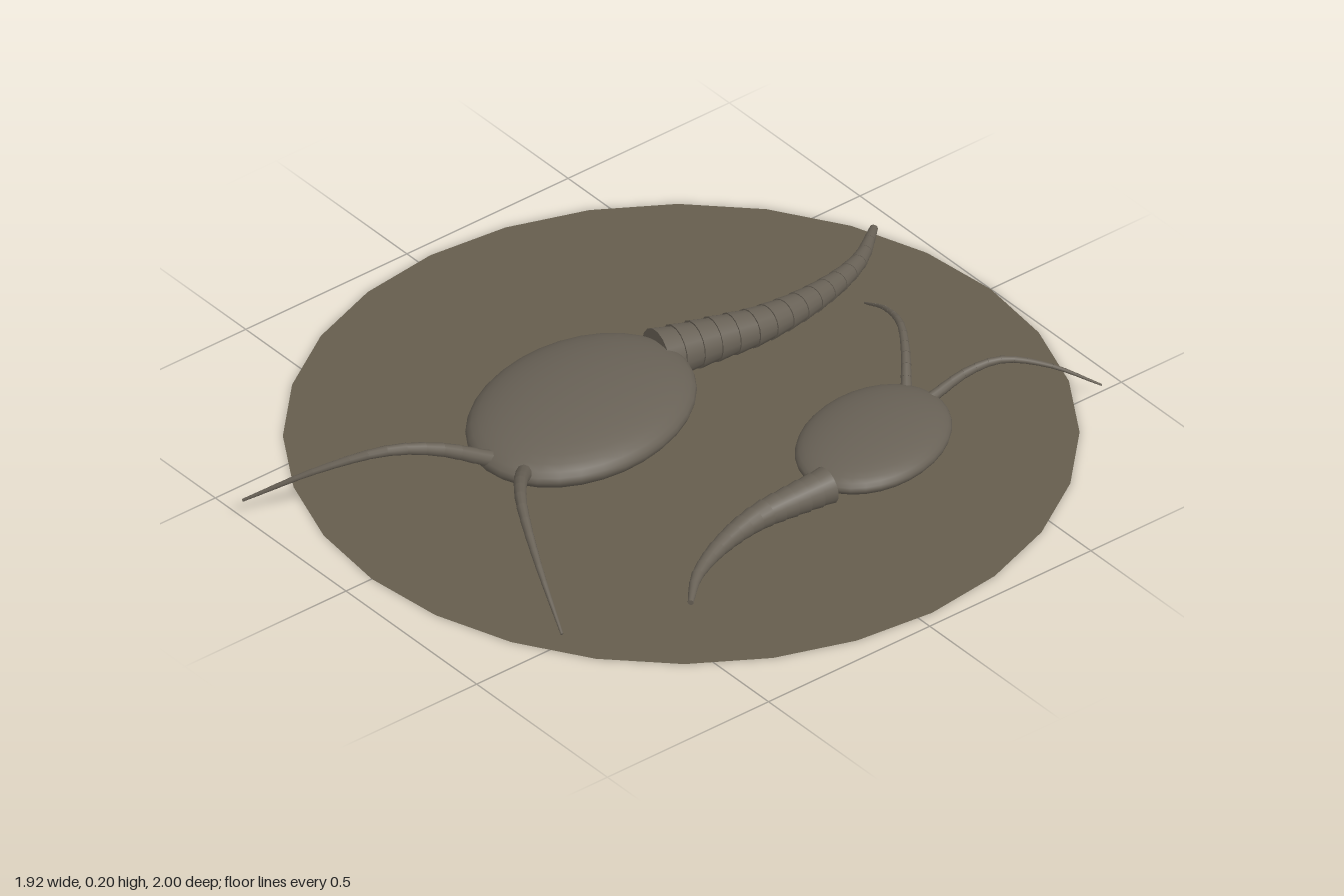
import * as THREE from 'three';

const stone = new THREE.MeshStandardMaterial({ color: 0x655d4d, side: THREE.DoubleSide });
stone.name = 'stone slab';
const shell = new THREE.MeshStandardMaterial({ color: 0x686156 });
shell.name = 'shell';

// Chain of slightly tapered rings along a curve, each stepping in at its far end
function ringChain(name, points, count, baseRadius, tipRadius, sides) {
  const chain = new THREE.Group();
  chain.name = name;
  const curve = new THREE.CatmullRomCurve3(points.map((p) => new THREE.Vector3(...p)));
  const up = new THREE.Vector3(0, 1, 0);
  const radiusAt = (t) => THREE.MathUtils.lerp(baseRadius, tipRadius, t);
  for (let i = 0; i < count; i++) {
    const a = curve.getPointAt(i / count);
    const b = curve.getPointAt((i + 1) / count);
    const dir = b.clone().sub(a);
    const near = radiusAt(i / count);
    const far = radiusAt((i + 1) / count) * 0.92;
    const ring = new THREE.Mesh(
      new THREE.CylinderGeometry(far, near, dir.length() * 1.08, sides), shell);
    ring.name = name + 'Segment';
    ring.position.copy(a).add(b).multiplyScalar(0.5);
    ring.quaternion.setFromUnitVectors(up, dir.normalize());
    chain.add(ring);
  }
  return chain;
}

// Flat oval body with a curved ringed tail behind and two arched feelers in front (+z)
function createCreature(name) {
  const creature = new THREE.Group();
  creature.name = name;

  const body = new THREE.Mesh(new THREE.SphereGeometry(1, 32, 20), shell);
  body.name = 'body';
  body.scale.set(0.245, 0.073, 0.335);
  body.position.y = 0.09;
  creature.add(body);

  creature.add(ringChain('tail', [
    [0.004, 0.08, -0.305], [0.074, 0.072, -0.461], [0.114, 0.067, -0.554],
    [0.138, 0.061, -0.651], [0.15, 0.055, -0.752], [0.15, 0.048, -0.855],
    [0.134, 0.042, -0.963], [0.08, 0.035, -1.09],
  ], 16, 0.068, 0.011, 16));

  for (const side of [-1, 1]) {
    creature.add(ringChain(side > 0 ? 'leftFeeler' : 'rightFeeler', [
      [side * 0.05, 0.1, 0.303], [side * 0.125, 0.165, 0.422], [side * 0.202, 0.184, 0.52],
      [side * 0.328, 0.138, 0.631], [side * 0.474, 0.048, 0.733],
    ], 14, 0.021, 0.004, 10));
  }
  return creature;
}

export function createModel() {
  const model = new THREE.Group();
  model.name = 'slabWithCreatures';

  // Flat round slab
  const slab = new THREE.Mesh(new THREE.CircleGeometry(0.96, 28), stone);
  slab.name = 'slab';
  slab.rotation.x = -Math.PI / 2;
  slab.position.z = -0.04;
  model.add(slab);

  // Large creature facing the front, small one facing the back
  const large = createCreature('largeCreature');
  large.position.set(-0.13, 0, 0.165);
  large.rotation.y = THREE.MathUtils.degToRad(15);
  const small = createCreature('smallCreature');
  small.position.set(0.378, 0, -0.33);
  small.rotation.y = THREE.MathUtils.degToRad(200);
  small.scale.setScalar(0.7);
  model.add(large, small);
  return model;
}
